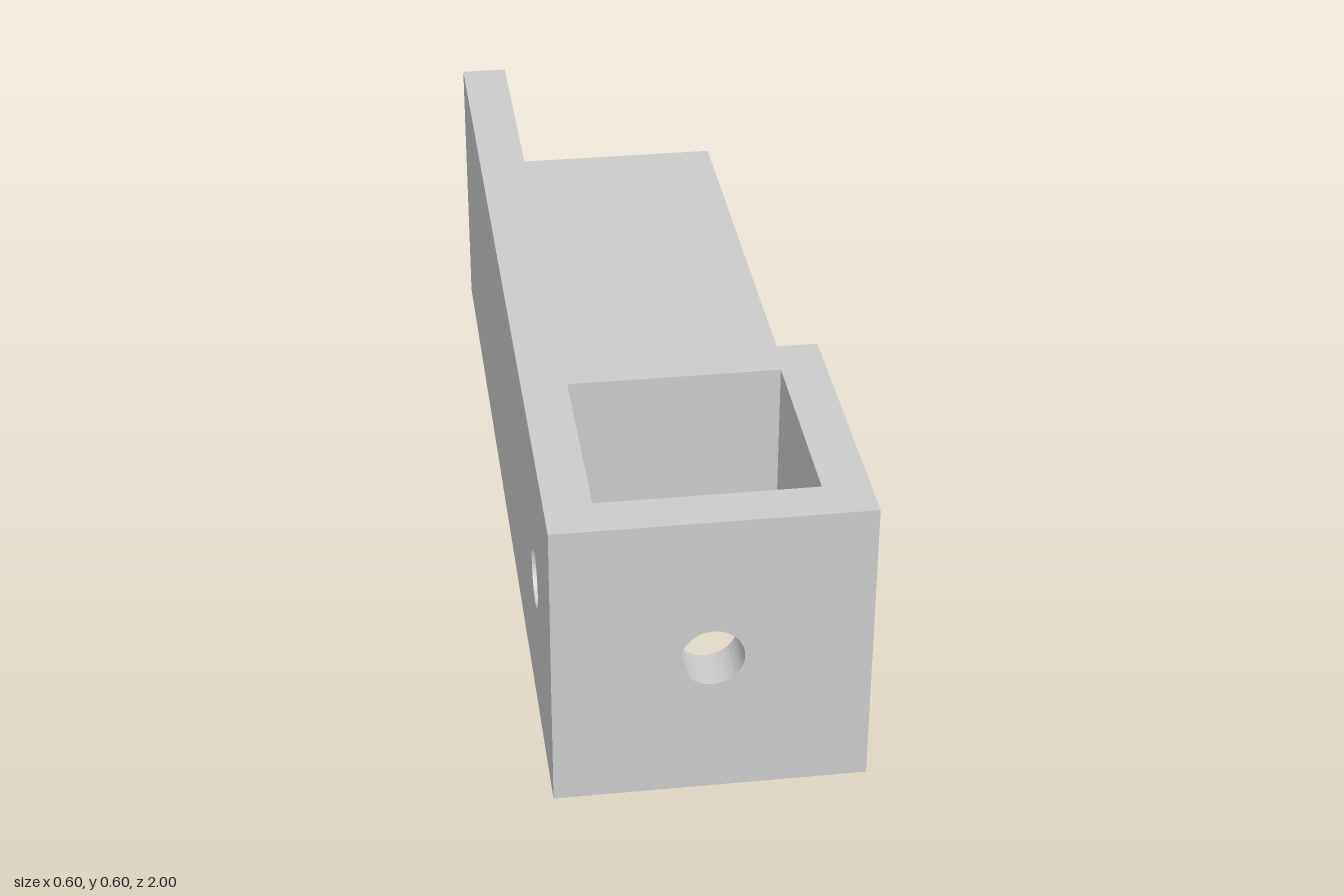
import * as THREE from 'three';

const H = 0.6;             // overall height
const HALF = 0.3;          // half width
const WALL = 0.09;         // socket wall thickness
const FRONT = 1, BACK = 0.4, REAR = -1;
const HOLE_R = 0.06, HOLE_SIDES = 20;

// Upright plate from u0 to u1, with an optional round hole at mid height
function plate(u0, u1, drilled) {
  const shape = new THREE.Shape([[u0, 0], [u1, 0], [u1, H], [u0, H]].map(p => new THREE.Vector2(...p)));
  if (drilled) {
    const hole = new THREE.Path();
    hole.absarc((u0 + u1) / 2, H / 2, HOLE_R, 0, Math.PI * 2, true);
    shape.holes.push(hole);
  }
  return new THREE.ExtrudeGeometry(shape, { depth: WALL, bevelEnabled: false, curveSegments: HOLE_SIDES });
}

export function createModel() {
  const model = new THREE.Group();
  model.name = 'socketBracket';
  const material = new THREE.MeshStandardMaterial({ color: 0xcccccc, flatShading: true });
  const add = (name, geometry, parent) => {
    const mesh = new THREE.Mesh(geometry, material);
    mesh.name = name;
    parent.add(mesh);
  };

  // Square socket, open at top and bottom
  const socket = new THREE.Group();
  socket.name = 'socket';
  model.add(socket);
  const inner = HALF - WALL;
  for (const [name, x] of [['leftWall', HALF], ['rightWall', -inner]]) {
    add(name, plate(BACK, FRONT, true).rotateY(-Math.PI / 2).translate(x, 0, 0), socket);
  }
  add('frontWall', plate(-inner, inner, true).translate(0, 0, FRONT - WALL), socket);
  add('backWall', plate(-inner, inner, false).translate(0, 0, BACK), socket);

  // Long rail: upright flange with a shelf at mid height, in one T profile
  const profile = new THREE.Shape([
    [-0.3, 0], [-0.2, 0], [-0.2, 0.25], [0.3, 0.25],
    [0.3, 0.35], [-0.2, 0.35], [-0.2, H], [-0.3, H],
  ].map(p => new THREE.Vector2(...p)));
  const rail = new THREE.ExtrudeGeometry(profile, { depth: BACK - REAR, bevelEnabled: false });
  add('flangeAndShelf', rail.translate(0, 0, REAR), model);

  return model;
}
